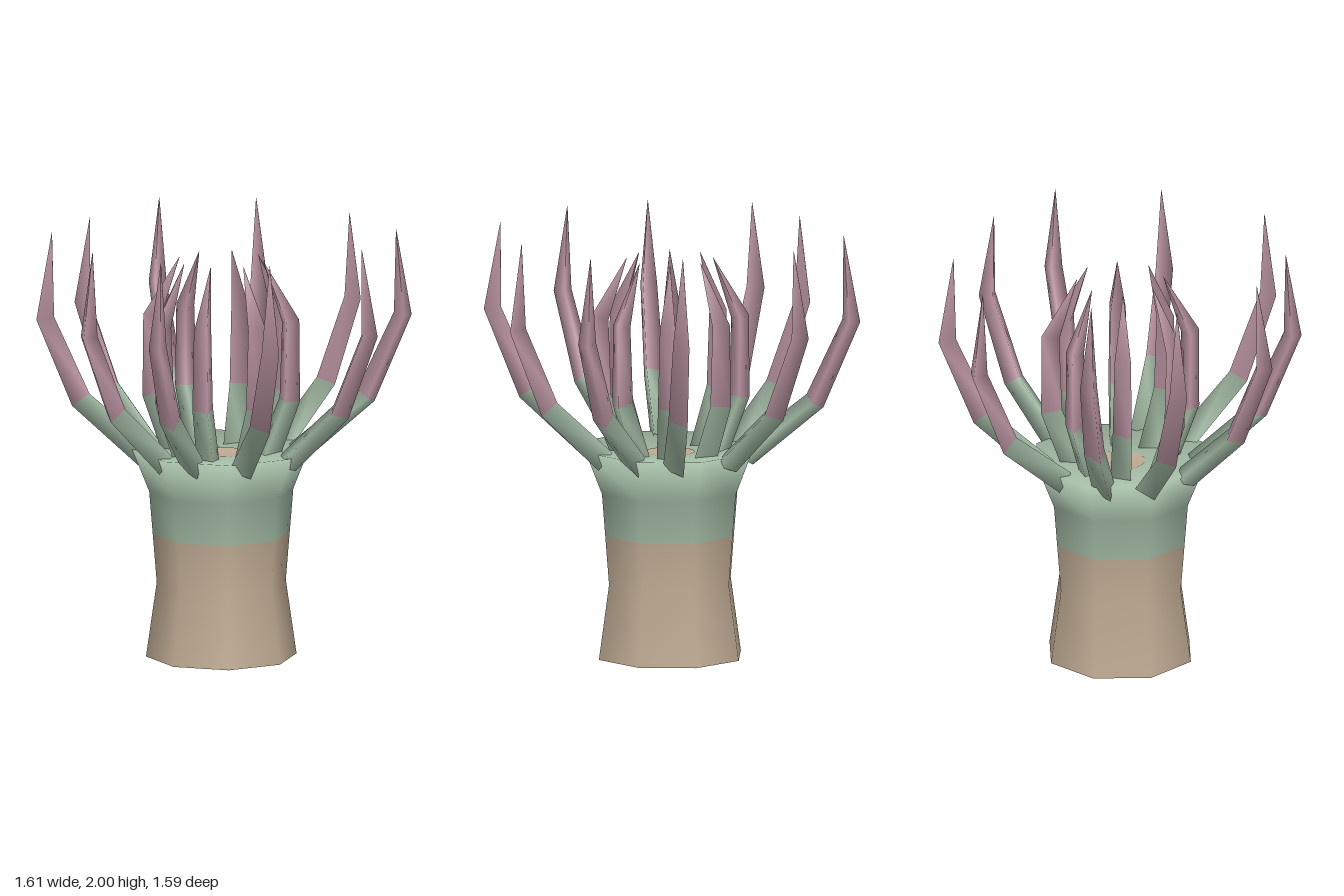
import * as THREE from 'three';

const mat = (name, color) =>
  Object.assign(new THREE.MeshStandardMaterial({ color, side: THREE.DoubleSide }), { name });

const CX = -0.025, CZ = -0.02; // axis of the column

// Tapering three-sided arm: rings are [distance from axis, height, thickness];
// the first section takes material 0, the rest material 1.
function armGeometry(angle, rings) {
  const ox = Math.cos(angle), oz = Math.sin(angle);
  const pos = [], index = [];
  rings.forEach(([r, y, size], i) => {
    const prev = rings[Math.max(i - 1, 0)], next = rings[Math.min(i + 1, rings.length - 1)];
    const len = Math.hypot(next[0] - prev[0], next[1] - prev[1]);
    const dr = (next[0] - prev[0]) / len, dy = (next[1] - prev[1]) / len;
    for (const deg of [-60, 60, 180]) {
      const t = THREE.MathUtils.degToRad(deg);
      const side = Math.cos(t) * size, out = -Math.sin(t) * size;
      const radial = r + out * dy;
      pos.push(CX + ox * radial + oz * side, y - out * dr, CZ + oz * radial - ox * side);
    }
    if (i === 0) return;
    for (let j = 0; j < 3; j++) {
      const k = (j + 1) % 3, a = (i - 1) * 3, b = i * 3;
      index.push(a + j, a + k, b + j, a + k, b + k, b + j);
    }
  });
  const g = new THREE.BufferGeometry();
  g.setAttribute('position', new THREE.Float32BufferAttribute(pos, 3));
  g.setIndex(index);
  g.computeVertexNormals();
  g.addGroup(0, 18, 0);
  g.addGroup(18, index.length - 18, 1);
  return g;
}

export function createModel() {
  const group = new THREE.Group();
  const green = mat('sage green', 0xa3bba5);
  const pink = mat('dusty pink', 0xbe97a5);
  const beige = mat('warm beige', 0xbfab93);

  const lathe = (name, material, profile, sides) => {
    const g = new THREE.LatheGeometry(profile.map(([x, y]) => new THREE.Vector2(x, y)), sides);
    const mesh = new THREE.Mesh(g, material);
    mesh.name = name;
    mesh.position.set(CX, 0, CZ);
    group.add(mesh);
  };

  // Eight-sided column, open underneath, with a flared and dished crown
  lathe('columnBase', beige, [[0.35, 0], [0.3, 0.35], [0.3187, 0.58]], 8);
  lathe('columnCrown', green, [[0.3187, 0.58], [0.335, 0.78], [0.415, 0.98], [0, 0.945]], 8);
  lathe('mouth', beige, [[0.115, 0.958], [0, 0.95]], 32);

  const addArm = (name, angle, rings) => {
    const mesh = new THREE.Mesh(armGeometry(angle, rings), [green, pink]);
    mesh.name = name;
    group.add(mesh);
  };

  // Outer ring of ten long tentacles, placed by their tips [x, z]
  const tips = [
    [0.74, -0.11], [0.57, -0.57], [0.17, -0.72], [-0.38, -0.71], [-0.73, -0.43],
    [-0.71, 0.10], [-0.62, 0.49], [-0.19, 0.72], [0.21, 0.71], [0.64, 0.44],
  ];
  tips.forEach(([x, z], i) => {
    const r = Math.hypot(x - CX, z - CZ);
    addArm(`outerTentacle${i + 1}`, Math.atan2(z - CZ, x - CX), [
      [0.35, 0.945, 0.062], [r * 0.83, 1.215, 0.057], [r * 1.04, 1.6, 0.048], [r, 2, 0.001],
    ]);
  });

  // Inner ring of eight shorter tentacles curling over the mouth
  for (let i = 0; i < 8; i++) {
    addArm(`innerTentacle${i + 1}`, THREE.MathUtils.degToRad(20 + 45 * i), [
      [0.21, 0.93, 0.062], [0.32, 1.22, 0.057], [0.325, 1.59, 0.048], [0.2, 1.87, 0.001],
    ]);
  }
  return group;
}
